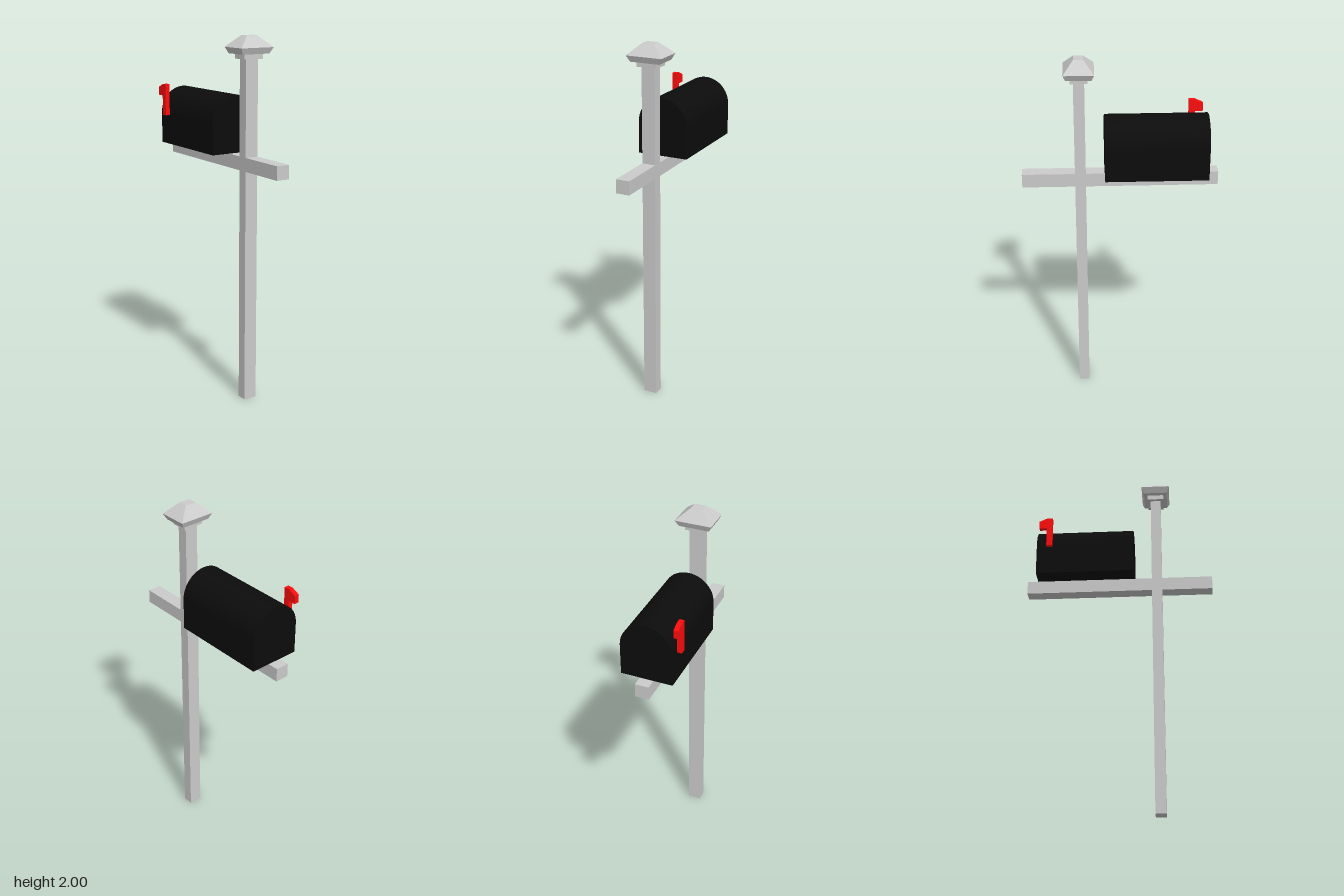
import * as THREE from 'three';
import { toCreasedNormals } from 'three/addons/utils/BufferGeometryUtils.js';

const CX = 0.0125; // post and box centre line
const POST_Z = 0.213;

export function createModel() {
  const model = new THREE.Group();
  model.name = 'mailbox';
  const wood = new THREE.MeshStandardMaterial({ color: 0xcccccc, flatShading: true });
  const black = new THREE.MeshStandardMaterial({ color: 0x0c0c0c });
  const red = new THREE.MeshStandardMaterial({ color: 0xff0c0c });

  const add = (name, geometry, material, x, y, z) => {
    const mesh = new THREE.Mesh(geometry, material);
    mesh.name = name;
    mesh.position.set(x, y, z);
    model.add(mesh);
    return mesh;
  };

  // Four-sided block that may taper between two heights
  const taper = (name, bottomWidth, topWidth, y0, y1) => {
    const g = new THREE.CylinderGeometry(topWidth * Math.SQRT1_2, bottomWidth * Math.SQRT1_2, y1 - y0, 4);
    g.rotateY(Math.PI / 4);
    g.scale(1, 1, 0.8);
    add(name, g, wood, CX, (y0 + y1) / 2, POST_Z);
  };

  // Post and cross beam
  add('post', new THREE.BoxGeometry(0.075, 1.88, 0.058), wood, CX, 0.94, POST_Z);
  add('crossBeam', new THREE.BoxGeometry(0.075, 0.075, 1.05), wood, CX, 1.3275, 0);

  // Post cap: collar, flared underside, hipped top
  taper('capCollar', 0.115, 0.115, 1.88, 1.907);
  taper('capFlare', 0.165, 0.2, 1.907, 1.94);
  taper('capRoof', 0.2, 0.064, 1.94, 2);

  // Arched box
  const r = 0.1415;
  const arch = new THREE.Shape();
  arch.moveTo(-r, 0);
  arch.lineTo(r, 0);
  arch.lineTo(r, 0.174);
  arch.absarc(0, 0.174, r, 0, Math.PI, false);
  arch.closePath();
  const boxGeometry = new THREE.ExtrudeGeometry(arch, { depth: 0.548, bevelEnabled: false, curveSegments: 12 });
  add('box', toCreasedNormals(boxGeometry, 0.6), black, CX, 1.365, -0.465);

  // Signal flag: slim staff with a sloped head pointing to the back
  const flag = new THREE.Shape([
    [0.375, 1.53], [0.408, 1.53], [0.408, 1.64], [0.45, 1.64],
    [0.45, 1.685], [0.405, 1.705], [0.375, 1.705],
  ].map(([x, y]) => new THREE.Vector2(x, y)));
  const flagGeometry = new THREE.ExtrudeGeometry(flag, { depth: 0.026, bevelEnabled: false });
  flagGeometry.rotateY(Math.PI / 2); // profile x runs towards -z
  add('flag', flagGeometry, red, -0.155, 0, 0);

  return model;
}
